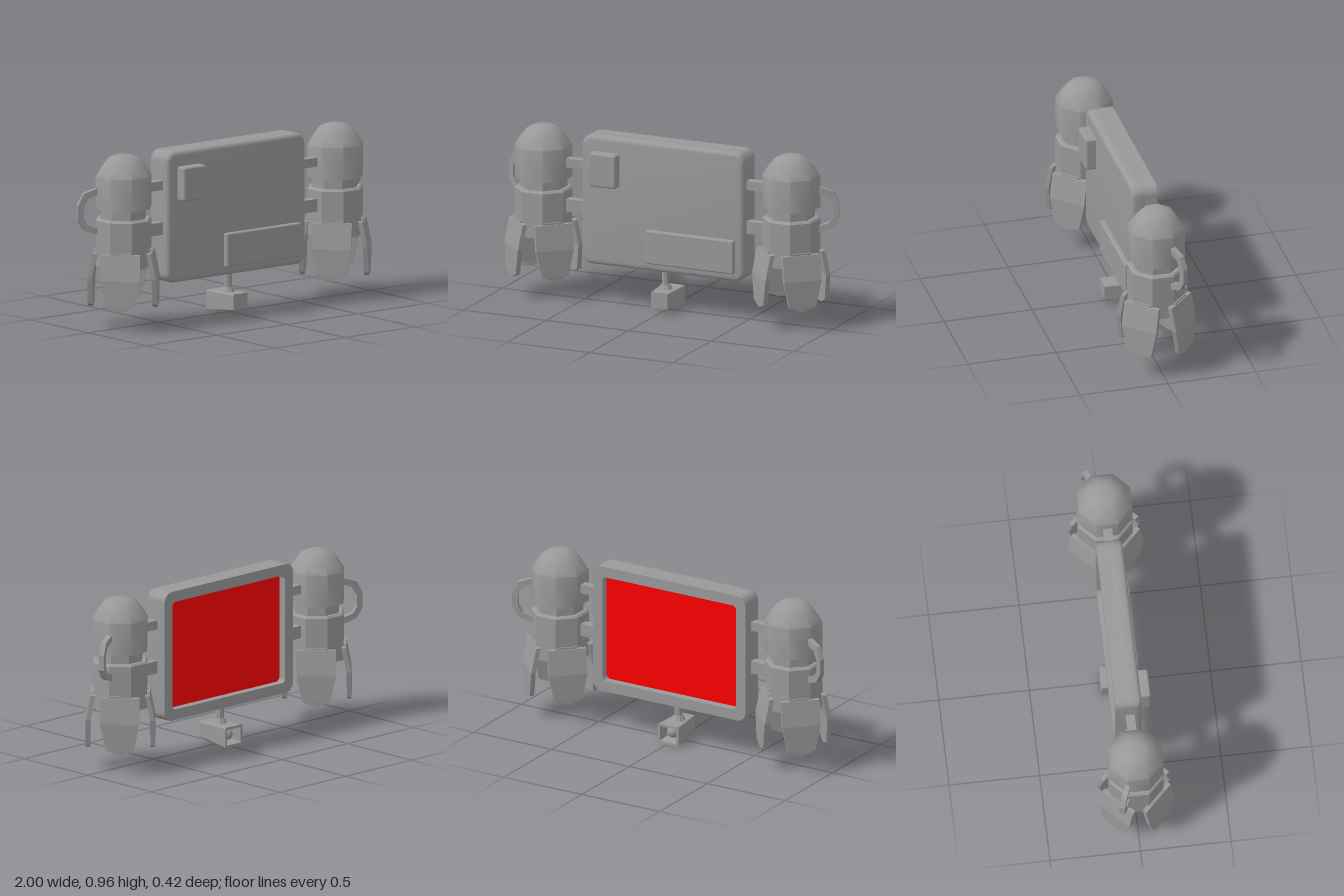
import * as THREE from 'three';
import { toCreasedNormals } from 'three/addons/utils/BufferGeometryUtils.js';
import { RoundedBoxGeometry } from 'three/addons/geometries/RoundedBoxGeometry.js';

const smooth = new THREE.MeshStandardMaterial({ color: 0x999999 });
const flat = new THREE.MeshStandardMaterial({ color: 0x999999, flatShading: true });
const red = new THREE.MeshStandardMaterial({ color: 0xfc0000 });

function add(parent, name, geometry, material = flat, x = 0, y = 0, z = 0) {
  const mesh = new THREE.Mesh(geometry, material);
  mesh.name = name;
  mesh.position.set(x, y, z);
  parent.add(mesh);
  return mesh;
}

// Rounded rectangle centred on the origin
function roundedRect(w, h, r, Type = THREE.Shape) {
  const s = new Type(), x = w / 2, y = h / 2;
  s.moveTo(-x + r, -y);
  s.lineTo(x - r, -y).absarc(x - r, -y + r, r, -Math.PI / 2, 0);
  s.lineTo(x, y - r).absarc(x - r, y - r, r, 0, Math.PI / 2);
  s.lineTo(-x + r, y).absarc(-x + r, y - r, r, Math.PI / 2, Math.PI);
  s.lineTo(-x, -y + r).absarc(-x + r, -y + r, r, Math.PI, Math.PI * 1.5);
  return s;
}

// Eight-sided turned body whose flats face the axes; radii are given to the flats
function octagonal(profile) {
  const k = 1 / Math.cos(Math.PI / 8);
  return new THREE.LatheGeometry(profile.map(([r, y]) => new THREE.Vector2(r * k, y)), 8, Math.PI / 8);
}

// Bent fin plate: outer skin from rows of [y, distance, half width], facing +z
function finGeometry() {
  const rows = [[0.43, 0.161, 0.108], [0.29, 0.189, 0.108], [0.145, 0.191, 0.078], [0.12, 0.19, 0.015]];
  const t = 0.025, pos = [], idx = [];
  for (const [y, d, w] of rows) pos.push(-w, y, d, w, y, d, w, y, d - t, -w, y, d - t);
  for (let i = 0; i < rows.length - 1; i++) {
    for (let j = 0; j < 4; j++) {
      const a = i * 4 + j, b = i * 4 + (j + 1) % 4;
      idx.push(a, a + 4, b, b, a + 4, b + 4);
    }
  }
  const n = (rows.length - 1) * 4;
  idx.push(0, 1, 2, 0, 2, 3, n, n + 2, n + 1, n, n + 3, n + 2);
  const g = new THREE.BufferGeometry();
  g.setAttribute('position', new THREE.Float32BufferAttribute(pos, 3));
  g.setIndex(idx);
  const out = g.toNonIndexed();
  out.computeVertexNormals();
  return out;
}

// C-shaped grab handle in the radial plane
function handleGeometry() {
  const outer = [[0.12, 0.786], [0.155, 0.786], [0.23, 0.76], [0.264, 0.695], [0.264, 0.61], [0.23, 0.555], [0.155, 0.528], [0.12, 0.528]];
  const inner = [[0.12, 0.565], [0.155, 0.565], [0.208, 0.583], [0.232, 0.62], [0.232, 0.685], [0.208, 0.73], [0.155, 0.749], [0.12, 0.749]];
  const shape = new THREE.Shape([...outer, ...inner].map(([x, y]) => new THREE.Vector2(x, y)));
  return new THREE.ExtrudeGeometry(shape, { depth: 0.03, bevelEnabled: false }).translate(0, 0, -0.015);
}

function createPod(side) {
  const pod = new THREE.Group();
  pod.name = side > 0 ? 'leftPod' : 'rightPod';
  pod.position.x = side * 0.75;

  const dome = octagonal([[0, 0.67], [0.147, 0.67], [0.147, 0.85], [0.117, 0.9], [0.085, 0.943], [0.05, 0.96], [0, 0.96]]);
  add(pod, 'dome', toCreasedNormals(dome, 0.9), smooth);
  add(pod, 'neck', octagonal([[0.12, 0.6], [0.12, 0.68]]));
  add(pod, 'lowerBody', octagonal([[0, 0.35], [0.147, 0.35], [0.147, 0.605], [0.137, 0.615], [0, 0.615]]));

  // Four fins on the diagonals, each under a small hinge block
  for (let i = 0; i < 4; i++) {
    const mount = new THREE.Group();
    mount.name = 'finMount';
    mount.rotation.y = Math.PI / 4 + i * Math.PI / 2;
    add(mount, 'fin', finGeometry());
    add(mount, 'finHinge', new THREE.BoxGeometry(0.115, 0.025, 0.03), flat, 0, 0.428, 0.14);
    pod.add(mount);
  }

  // Handle on the outer rear side
  const handle = add(pod, 'handle', handleGeometry());
  handle.rotation.y = side > 0 ? Math.PI / 8 : Math.PI - Math.PI / 8;
  return pod;
}

function createCamera() {
  const camera = new THREE.Group();
  camera.name = 'camera';
  camera.position.x = -0.01;

  // Towards the front the underside rises and the sides draw in
  const taper = (g) => {
    const p = g.attributes.position;
    for (let i = 0; i < p.count; i++) {
      const t = (p.getZ(i) + 0.11) / 0.21;
      if (p.getY(i) < 0.05) p.setY(i, p.getY(i) + t * 0.025);
      p.setX(i, p.getX(i) + t * (p.getX(i) < 0 ? 0.022 : -0.008));
    }
    g.computeVertexNormals();
    return g;
  };
  const shell = roundedRect(0.132, 0.115, 0.008);
  shell.holes.push(roundedRect(0.104, 0.087, 0.004, THREE.Path));
  add(camera, 'cameraShell', taper(new THREE.ExtrudeGeometry(shell, { depth: 0.21, bevelEnabled: false, curveSegments: 2 })
    .translate(0, 0.0575, -0.11)));
  add(camera, 'cameraCore', taper(new THREE.BoxGeometry(0.106, 0.089, 0.14).translate(0, 0.0575, 0.03)));
  add(camera, 'cameraLens', new THREE.SphereGeometry(0.032, 16, 12), smooth, 0, 0.06, -0.055);
  add(camera, 'cameraCollar', new THREE.CylinderGeometry(0.026, 0.04, 0.028, 8), flat, 0, 0.127, 0);
  add(camera, 'cameraStem', new THREE.CylinderGeometry(0.022, 0.022, 0.12, 8), flat, 0, 0.19, 0);
  return camera;
}

export function createModel() {
  const model = new THREE.Group();
  model.name = 'screenUnit';

  // Housing with softened front edge
  const b = 0.022, midY = 0.585, backZ = -0.08, screenZ = -0.03, frontZ = 0.065;
  const housing = new THREE.ExtrudeGeometry(roundedRect(0.98, 0.73, 0.055), {
    depth: frontZ - screenZ - 2 * b, bevelThickness: b, bevelSize: b, bevelOffset: -b, bevelSegments: 3, curveSegments: 5,
  });
  add(model, 'housing', toCreasedNormals(housing, 0.7), smooth, 0, midY, screenZ + b);

  // Rim around the recessed screen at the back
  const rimShape = roundedRect(0.98, 0.73, 0.055);
  rimShape.holes.push(roundedRect(0.86, 0.61, 0.025, THREE.Path));
  const rim = new THREE.ExtrudeGeometry(rimShape, { depth: screenZ - backZ + b, bevelEnabled: false, curveSegments: 5 });
  add(model, 'screenRim', toCreasedNormals(rim, 0.7), smooth, 0, midY, backZ);
  add(model, 'screen', new THREE.BoxGeometry(0.87, 0.62, 0.01), red, 0, midY, screenZ);

  // Equipment boxes on the front
  add(model, 'frontPanel', new RoundedBoxGeometry(0.53, 0.19, 0.06, 2, 0.01), smooth, 0.175, 0.362, 0.062);
  add(model, 'frontBox', new RoundedBoxGeometry(0.16, 0.19, 0.09, 2, 0.012), smooth, -0.34, 0.772, 0.078);

  // Pods and the arms that carry them
  for (const side of [-1, 1]) {
    model.add(createPod(side));
    add(model, 'upperArm', new THREE.BoxGeometry(0.17, 0.05, 0.05), flat, side * 0.55, 0.765, 0);
    add(model, 'lowerArm', new THREE.BoxGeometry(0.17, 0.07, 0.05), flat, side * 0.55, 0.525, 0);
  }

  model.add(createCamera());
  return model;
}
